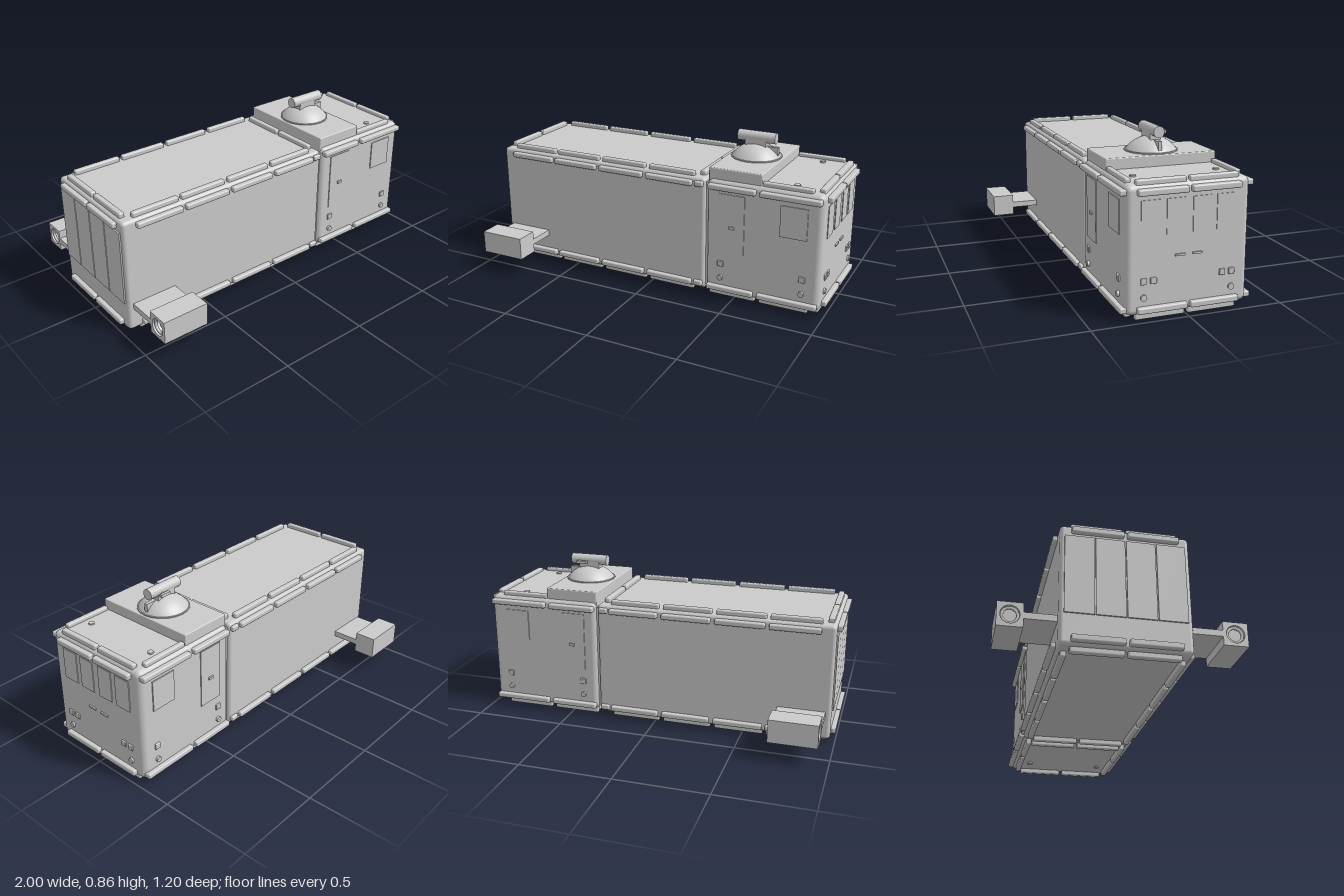
import * as THREE from 'three';
import { RoundedBoxGeometry } from 'three/addons/geometries/RoundedBoxGeometry.js';

const mat = new THREE.MeshStandardMaterial({ color: 0xcccccc });

export function createModel() {
  const root = new THREE.Group();

  const add = (name, geometry, x = 0, y = 0, z = 0, parent = root) => {
    const mesh = new THREE.Mesh(geometry, mat);
    mesh.name = name;
    mesh.position.set(x, y, z);
    parent.add(mesh);
    return mesh;
  };
  // Boxes given by their limits on each axis
  const box = (name, [x0, x1], [y0, y1], [z0, z1], r = 0) => {
    const s = [x1 - x0, y1 - y0, z1 - z0];
    const g = r ? new RoundedBoxGeometry(...s, 3, r) : new THREE.BoxGeometry(...s);
    return add(name, g, (x0 + x1) / 2, (y0 + y1) / 2, (z0 + z1) / 2);
  };
  const span = (s, a, b) => (s > 0 ? [a, b] : [-b, -a]);
  // Short cylinder pointing along an axis
  const disc = (name, r, h, axis, x, y, z) => {
    const g = new THREE.CylinderGeometry(r, r, h, 20);
    if (axis === 'x') g.rotateZ(Math.PI / 2);
    if (axis === 'z') g.rotateX(Math.PI / 2);
    return add(name, g, x, y, z);
  };

  // Main bodies and the neck between them
  box('cargoBody', [-0.975, 0.328], [0.03, 0.665], [-0.32, 0.32], 0.02);
  box('neck', [0.29, 0.38], [0.05, 0.645], [-0.3, 0.3]);
  box('cab', [0.338, 0.975], [0.03, 0.67], [-0.32, 0.32], 0.032);

  // Bumper rails: lengthwise on sides, roof and floor
  const cargoRuns = [[-0.9, -0.63], [-0.61, -0.34], [-0.315, -0.045], [-0.02, 0.255]];
  const cabRuns = [[0.35, 0.615], [0.64, 0.91]];
  for (const s of [1, -1]) {
    for (const [a, b] of [...cargoRuns, ...cabRuns]) {
      const end = b > 0.9 ? 0.965 : b;
      box('sideRail', [a, end], [0.62, 0.65], span(s, 0.305, 0.345), 0.008);
      box('sideRail', [a, end], [0.045, 0.075], span(s, 0.305, 0.345), 0.008);
      box('roofRail', [a, b], [0.65, 0.69], span(s, 0.27, 0.3), 0.008);
      box('floorRail', [a, b], [0.003, 0.045], span(s, 0.27, 0.3), 0.008);
    }
    box('sideRail', [0.268, 0.318], [0.62, 0.65], span(s, 0.305, 0.337), 0.008);
    box('sideRail', [0.268, 0.318], [0.045, 0.075], span(s, 0.305, 0.337), 0.008);
    // Crosswise rails on roof, floor and both ends
    const cross = span(s, 0.008, 0.265);
    for (const x of [-0.94, 0.29, 0.945]) {
      box('roofCrossRail', [x - 0.016, x + 0.016], [0.65, 0.69], cross, 0.008);
      box('floorCrossRail', [x - 0.016, x + 0.016], [0.003, 0.045], cross, 0.008);
    }
    box('floorCrossRail', [0.354, 0.386], [0.003, 0.045], cross, 0.008);
    for (const y of [0.635, 0.06]) {
      box('rearRail', [-1, -0.96], [y - 0.016, y + 0.016], cross, 0.008);
      box('frontRail', [0.96, 1], [y - 0.016, y + 0.016], cross, 0.008);
    }
  }

  // Rear door leaves
  for (let i = 0; i < 4; i++) {
    const z = -0.3 + i * 0.15;
    box('rearDoor', [-0.983, -0.96], [0.19, 0.605], [z + 0.003, z + 0.147]);
  }

  for (const s of [1, -1]) {
    // Windscreen panes
    box('windscreenPane', [0.96, 0.979], [0.42, 0.595], span(s, 0.02, 0.115));
    box('windscreenPane', [0.96, 0.979], [0.42, 0.595], span(s, 0.145, 0.245));
    // Front lamps and handles
    for (const z of [0.18, 0.23]) {
      box('frontLamp', [0.96, 0.983], [0.185, 0.217], span(s, z - 0.016, z + 0.016), 0.004);
    }
    disc('frontBolt', 0.016, 0.03, 'x', 0.97, 0.12, s * 0.23);
    box('frontHandle', [0.97, 0.983], [0.31, 0.32], span(s, 0.02, 0.07));
    // Cab door, side window and side lamps
    box('cabDoor', [0.41, 0.555], [0.27, 0.6], span(s, 0.3, 0.325));
    box('doorHandle', [0.47, 0.5], [0.41, 0.425], span(s, 0.32, 0.333));
    box('sideWindow', [0.75, 0.895], [0.42, 0.59], span(s, 0.3, 0.326));
    for (const x of [0.425, 0.88]) {
      box('sideLamp', [x - 0.017, x + 0.017], [0.185, 0.218], span(s, 0.3, 0.328), 0.004);
      disc('sideBolt', 0.015, 0.03, 'z', x, 0.12, s * 0.318);
    }
    disc('roofBolt', 0.016, 0.02, 'y', 0.8, 0.668, s * 0.22);
    disc('floorBolt', 0.016, 0.02, 'y', 0.8, 0.032, s * 0.22);
  }

  // Roof platform and dome
  box('roofPlatform', [0.34, 0.638], [0.64, 0.728], [-0.3, 0.3], 0.006);
  const h = 0.075, base = 0.138;
  const R = (base * base + h * h) / (2 * h);
  add('dome', new THREE.SphereGeometry(R, 40, 12, 0, Math.PI * 2, 0, Math.asin(base / R)), 0.49, 0.727 + h - R, 0);
  disc('domeRing', 0.14, 0.008, 'y', 0.49, 0.73, 0);

  // Roof barrel on its mount, with a small sight
  box('barrelMount', [0.43, 0.55], [0.785, 0.835], [-0.028, 0.028]);
  box('domeSlot', [0.49, 0.615], [0.728, 0.79], [-0.01, 0.01]);
  disc('barrel', 0.03, 0.215, 'x', 0.493, 0.836, 0);
  box('sight', [0.495, 0.555], [0.82, 0.836], [-0.06, -0.043]);
  box('sightArm', [0.52, 0.53], [0.824, 0.832], [-0.05, 0]);

  // Side engine pods: solid block with a recessed nozzle at the rear
  const rear = new THREE.Shape();
  rear.moveTo(-0.0625, -0.0625).lineTo(0.0625, -0.0625).lineTo(0.0625, 0.0625).lineTo(-0.0625, 0.0625).closePath();
  rear.holes.push(new THREE.Path().absarc(0, 0, 0.046, 0, Math.PI * 2, true));
  const rearGeo = new THREE.ExtrudeGeometry(rear, { depth: 0.04, bevelEnabled: false, curveSegments: 24 });
  rearGeo.rotateY(-Math.PI / 2);
  for (const s of [1, -1]) {
    box('podArm', [-0.945, -0.69], [0.155, 0.188], span(s, 0.3, 0.49));
    box('podBody', [-0.905, -0.688], [0.11, 0.235], span(s, 0.476, 0.601));
    add('podRear', rearGeo, -0.905, 0.1725, s * 0.5385);
    const lip = add('nozzleRing', new THREE.TorusGeometry(0.038, 0.008, 8, 24), -0.93, 0.1725, s * 0.5385);
    lip.rotation.y = Math.PI / 2;
  }
  return root;
}
